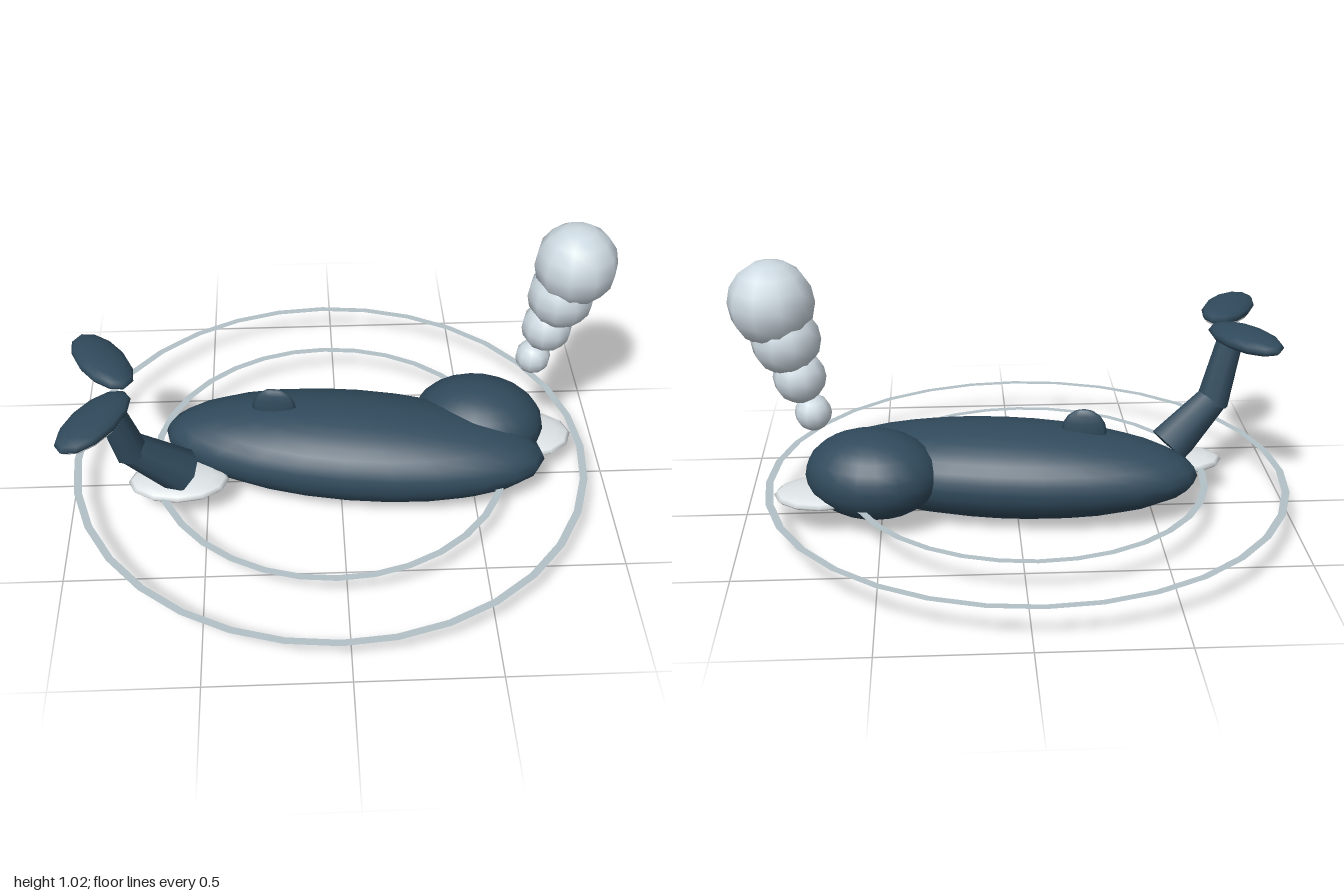
import * as THREE from 'three';

const material = (name, color, side = THREE.FrontSide) => {
  const m = new THREE.MeshStandardMaterial({ color, side });
  m.name = name;
  return m;
};

export function createModel() {
  const group = new THREE.Group();
  const skin = material('slate blue skin', 0x304a5c);
  const pale = material('pale flipper', 0xdde3e6);
  const mist = material('mist', 0xcdd9e1);
  const ripple = material('ripple', 0xb3c2c8, THREE.DoubleSide);

  const add = (name, geometry, mat, pos, rot = [0, 0, 0]) => {
    const mesh = new THREE.Mesh(geometry, mat);
    mesh.name = name;
    mesh.position.set(...pos);
    mesh.rotation.set(...rot);
    group.add(mesh);
    return mesh;
  };
  // Ellipsoid from a scaled sphere
  const ellipsoid = (name, radii, mat, pos, rot, w = 12, h = 8) =>
    add(name, new THREE.SphereGeometry(1, w, h).scale(...radii), mat, pos, rot);
  // Tapered cylinder between two points
  const limb = (name, from, to, r0, r1) => {
    const a = new THREE.Vector3(...from), b = new THREE.Vector3(...to);
    const dir = b.clone().sub(a);
    const mesh = add(name, new THREE.CylinderGeometry(r1, r0, dir.length(), 8), skin,
      a.clone().add(b).multiplyScalar(0.5).toArray());
    mesh.quaternion.setFromUnitVectors(new THREE.Vector3(0, 1, 0), dir.normalize());
  };

  // Body, head and back fin
  ellipsoid('body', [0.712, 0.171, 0.25], skin, [0.05, 0.171, 0], [0, -0.16, 0], 24, 16);
  ellipsoid('head', [0.246, 0.16, 0.2], skin, [0.525, 0.2, -0.09], [0, -0.25, 0], 20, 14);
  ellipsoid('dorsalFin', [0.082, 0.085, 0.022], skin, [-0.243, 0.327, -0.04], [0, -0.16, 0]);

  // Flippers
  ellipsoid('rightFlipper', [0.185, 0.033, 0.115], pale, [-0.6, 0.127, 0.128]);
  ellipsoid('leftFlipper', [0.172, 0.03, 0.135], pale, [0.713, 0.124, -0.088]);

  // Raised tail
  limb('tailBase', [-0.585, 0.18, 0.135], [-0.765, 0.355, 0.195], 0.085, 0.058);
  limb('tailTip', [-0.752, 0.33, 0.19], [-0.818, 0.575, 0.225], 0.063, 0.05);

  // Flukes, one with a pale underside
  ellipsoid('backFluke', [0.086, 0.036, 0.182], skin, [-0.838, 0.635, 0.06], [0, 0.53, -0.08]);
  ellipsoid('frontFluke', [0.086, 0.034, 0.182], skin, [-0.838, 0.64, 0.4], [0, -0.53, 0.08]);
  ellipsoid('flukeUnderside', [0.077, 0.028, 0.167], pale, [-0.838, 0.625, 0.4], [0, -0.53, 0.08]);

  // Rising spout of round puffs
  [[0.722, 0.462, 0.065], [0.763, 0.597, 0.093], [0.803, 0.735, 0.122], [0.845, 0.868, 0.15]]
    .forEach(([x, y, r], i) =>
      add(`spoutPuff${i + 1}`, new THREE.SphereGeometry(r, 10, 8), mist, [x, y, -0.135]));

  // Flat ripples on the water line
  [['innerRipple', 0.64, 0.667], ['outerRipple', 0.932, 0.96]].forEach(([name, r0, r1]) =>
    add(name, new THREE.RingGeometry(r0, r1, 32), ripple, [-0.037, 0.13, 0], [-Math.PI / 2, 0, 0]));

  return group;
}
